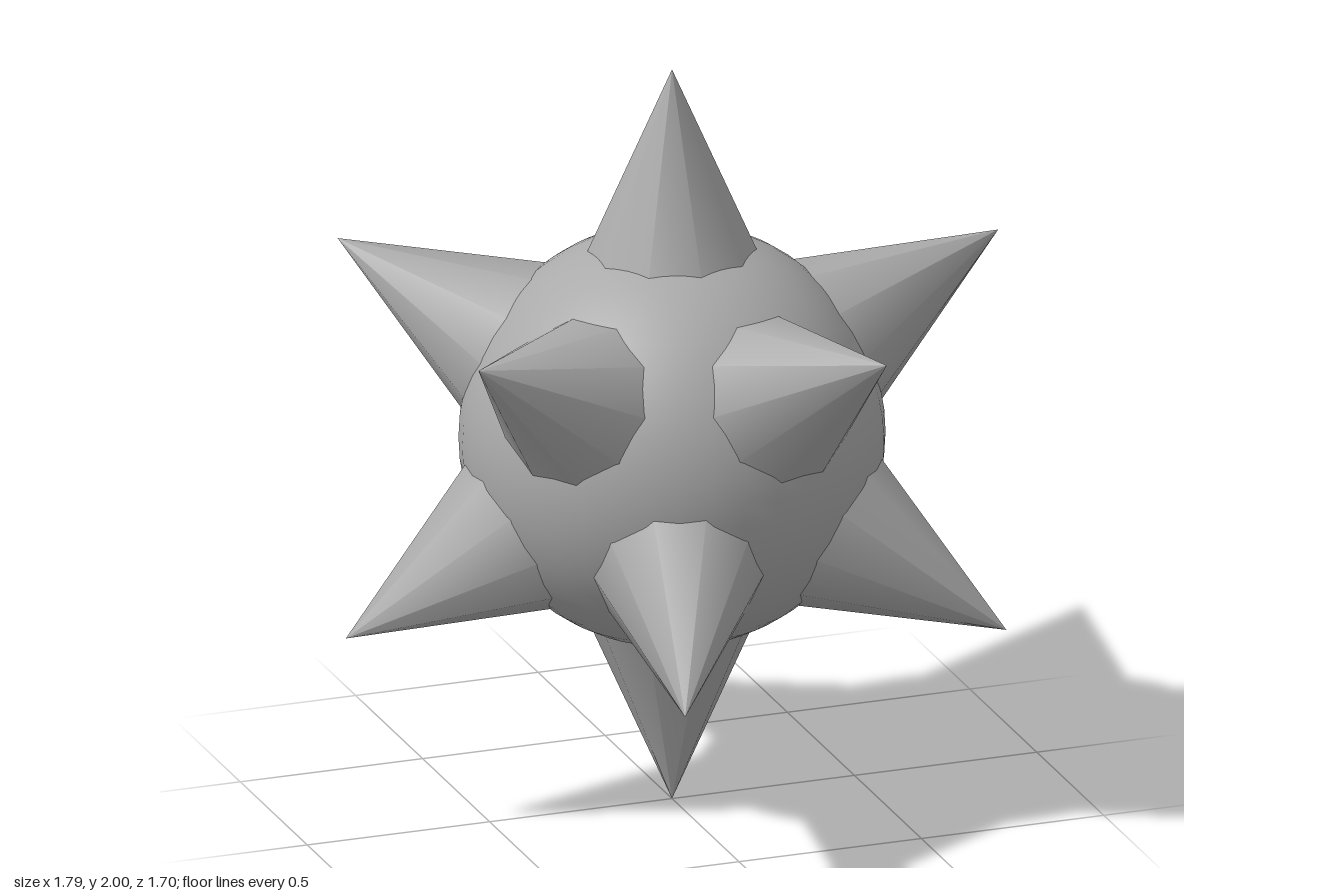
import * as THREE from 'three';

const CENTER_Y = 1;
const BALL_RADIUS = 0.55;
const SPIKE_START = 0.4; // spike bases sit inside the ball
const SPIKE_RADIUS = 0.264;

export function createModel() {
  const group = new THREE.Group();
  group.name = 'spikedBall';
  const gray = new THREE.MeshStandardMaterial({ color: 0xaaaaaa });
  gray.name = 'gray';

  // Round core
  const core = new THREE.Mesh(new THREE.SphereGeometry(BALL_RADIUS, 40, 28), gray);
  core.name = 'core';
  core.position.y = CENTER_Y;
  group.add(core);

  // Ten-sided spike, pointing up with its tip one unit from the core's centre
  const length = 1 - SPIKE_START;
  const spikeGeometry = new THREE.ConeGeometry(SPIKE_RADIUS, length, 10);
  spikeGeometry.translate(0, SPIKE_START + length / 2, 0);

  const up = new THREE.Vector3(0, 1, 0);
  function addSpike(name, direction) {
    const spike = new THREE.Mesh(spikeGeometry, gray);
    spike.name = name;
    spike.position.y = CENTER_Y;
    spike.quaternion.setFromUnitVectors(up, direction.normalize());
    group.add(spike);
  }

  // Poles plus two staggered rings of five: the corners of an icosahedron
  addSpike('topSpike', up.clone());
  const bottom = new THREE.Mesh(spikeGeometry, gray);
  bottom.name = 'bottomSpike';
  bottom.position.y = CENTER_Y;
  bottom.rotation.x = Math.PI;
  group.add(bottom);
  for (let i = 0; i < 5; i++) {
    const a = (i * 2 * Math.PI) / 5;
    const x = 2 * Math.cos(a);
    const z = 2 * Math.sin(a);
    addSpike(`upperSpike${i + 1}`, new THREE.Vector3(x, 1, z));
    addSpike(`lowerSpike${i + 1}`, new THREE.Vector3(-x, -1, -z));
  }
  return group;
}
